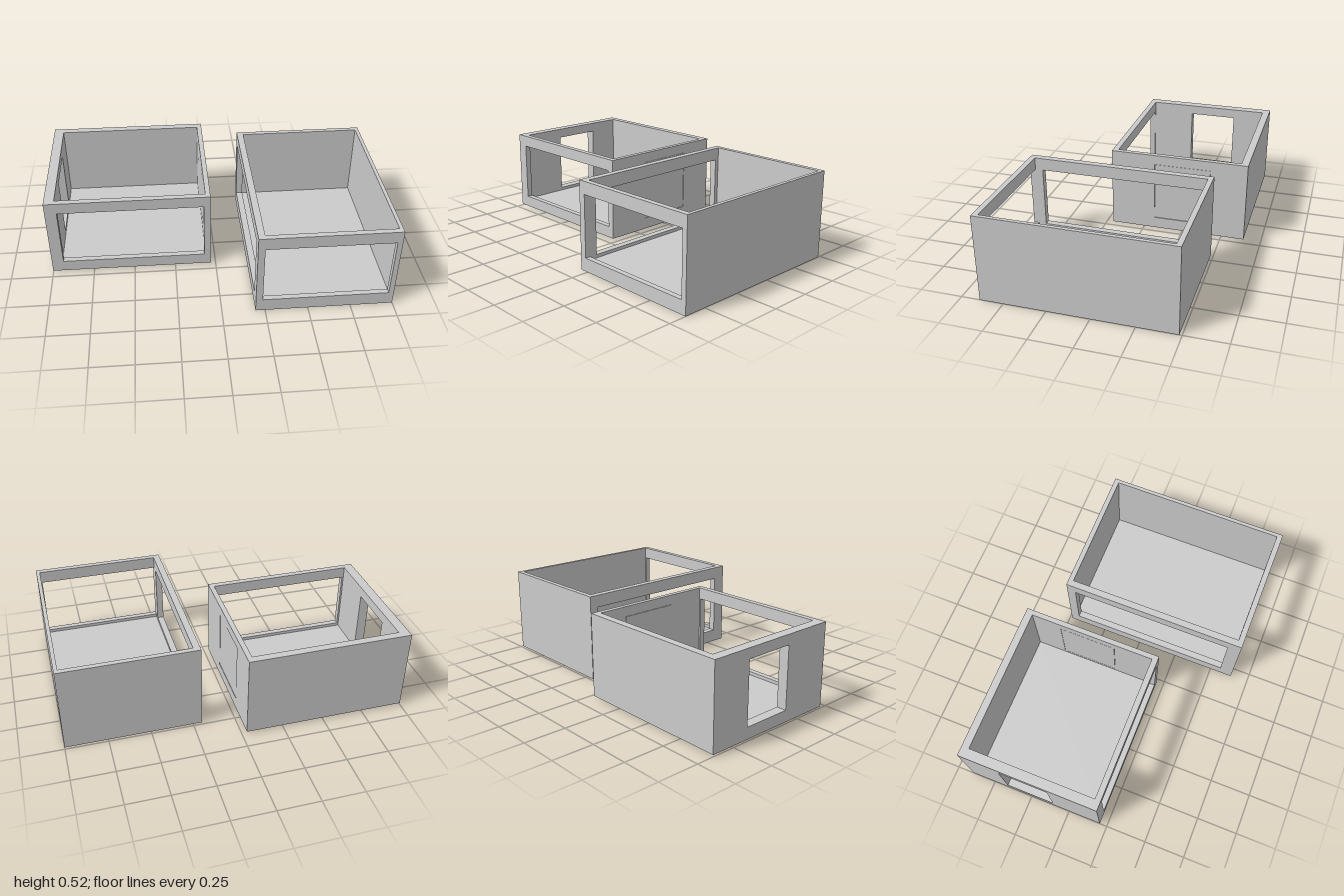
import * as THREE from 'three';

const material = new THREE.MeshStandardMaterial({ color: 0xcccccc, flatShading: true });

function addMesh(group, name, geometry) {
  const mesh = new THREE.Mesh(geometry, material);
  mesh.name = name;
  group.add(mesh);
  return mesh;
}

// Box given by its minimum and maximum corners
function addBlock(group, name, [x0, y0, z0], [x1, y1, z1]) {
  const geometry = new THREE.BoxGeometry(x1 - x0, y1 - y0, z1 - z0);
  geometry.translate((x0 + x1) / 2, (y0 + y1) / 2, (z0 + z1) / 2);
  return addMesh(group, name, geometry);
}

function rectangle(path, a0, y0, a1, y1) {
  path.moveTo(a0, y0);
  path.lineTo(a1, y0);
  path.lineTo(a1, y1);
  path.lineTo(a0, y1);
  path.closePath();
  return path;
}

// Wall slab with one rectangular opening [a0, y0, a1, y1]
function pierced(a0, y0, a1, y1, hole, thickness) {
  const shape = rectangle(new THREE.Shape(), a0, y0, a1, y1);
  shape.holes.push(rectangle(new THREE.Path(), ...hole));
  return new THREE.ExtrudeGeometry(shape, { depth: thickness, bevelEnabled: false });
}

// Wall across x, from z0 to z1
function wallAcross(group, name, x0, x1, y0, y1, z0, z1, hole) {
  if (!hole) return addBlock(group, name, [x0, y0, z0], [x1, y1, z1]);
  const geometry = pierced(x0, y0, x1, y1, hole, z1 - z0);
  geometry.translate(0, 0, z0);
  return addMesh(group, name, geometry);
}

// Wall along z, from x0 to x1; the opening is given in z and y
function wallAlong(group, name, x0, x1, y0, y1, z0, z1, hole) {
  if (!hole) return addBlock(group, name, [x0, y0, z0], [x1, y1, z1]);
  const [h0, hy0, h1, hy1] = hole;
  const geometry = pierced(-z1, y0, -z0, y1, [-h1, hy0, -h0, hy1], x1 - x0);
  geometry.rotateY(Math.PI / 2);
  geometry.translate(x0, 0, 0);
  return addMesh(group, name, geometry);
}

// Open-topped room: x, y, z extents, inner faces and openings
function room(name, { x, y, z, inX, inZ, floorTop, front, negSide, posSide }) {
  const group = new THREE.Group();
  group.name = name;
  wallAcross(group, 'frontWall', x[0], x[1], y[0], y[1], inZ[1], z[1], front);
  wallAcross(group, 'backWall', x[0], x[1], y[0], y[1], z[0], inZ[0]);
  wallAlong(group, 'rightWall', x[0], inX[0], y[0], y[1], inZ[0], inZ[1], negSide);
  wallAlong(group, 'leftWall', inX[1], x[1], y[0], y[1], inZ[0], inZ[1], posSide);
  addBlock(group, 'floor', [inX[0], y[0], inZ[0]], [inX[1], floorTop, inZ[1]]);
  return group;
}

export function createModel() {
  const model = new THREE.Group();
  model.name = 'twoRooms';

  // Wide room with a doorway on one side and a closed panel on the other
  const wide = room('wideRoom', {
    x: [-1, -0.03], y: [0.01, 0.51], z: [-0.645, 0.205],
    inX: [-0.94, -0.06], inZ: [-0.6, 0.17], floorTop: 0.06,
    front: [-0.93, 0.08, -0.07, 0.44],
    negSide: [-0.4, 0.08, -0.1, 0.45],
    posSide: [-0.42, 0.08, -0.07, 0.45],
  });
  addBlock(wide, 'closedPanel', [-0.06, 0.082, -0.418], [-0.032, 0.448, -0.072]);
  model.add(wide);

  // Deep room with large openings at the front and on the inner side
  model.add(room('deepRoom', {
    x: [0.195, 1], y: [0, 0.525], z: [-0.485, 0.64],
    inX: [0.235, 0.978], inZ: [-0.455, 0.607], floorTop: 0.06,
    front: [0.235, 0.08, 0.97, 0.45],
    negSide: [-0.43, 0.08, 0.56, 0.45],
  }));

  return model;
}
